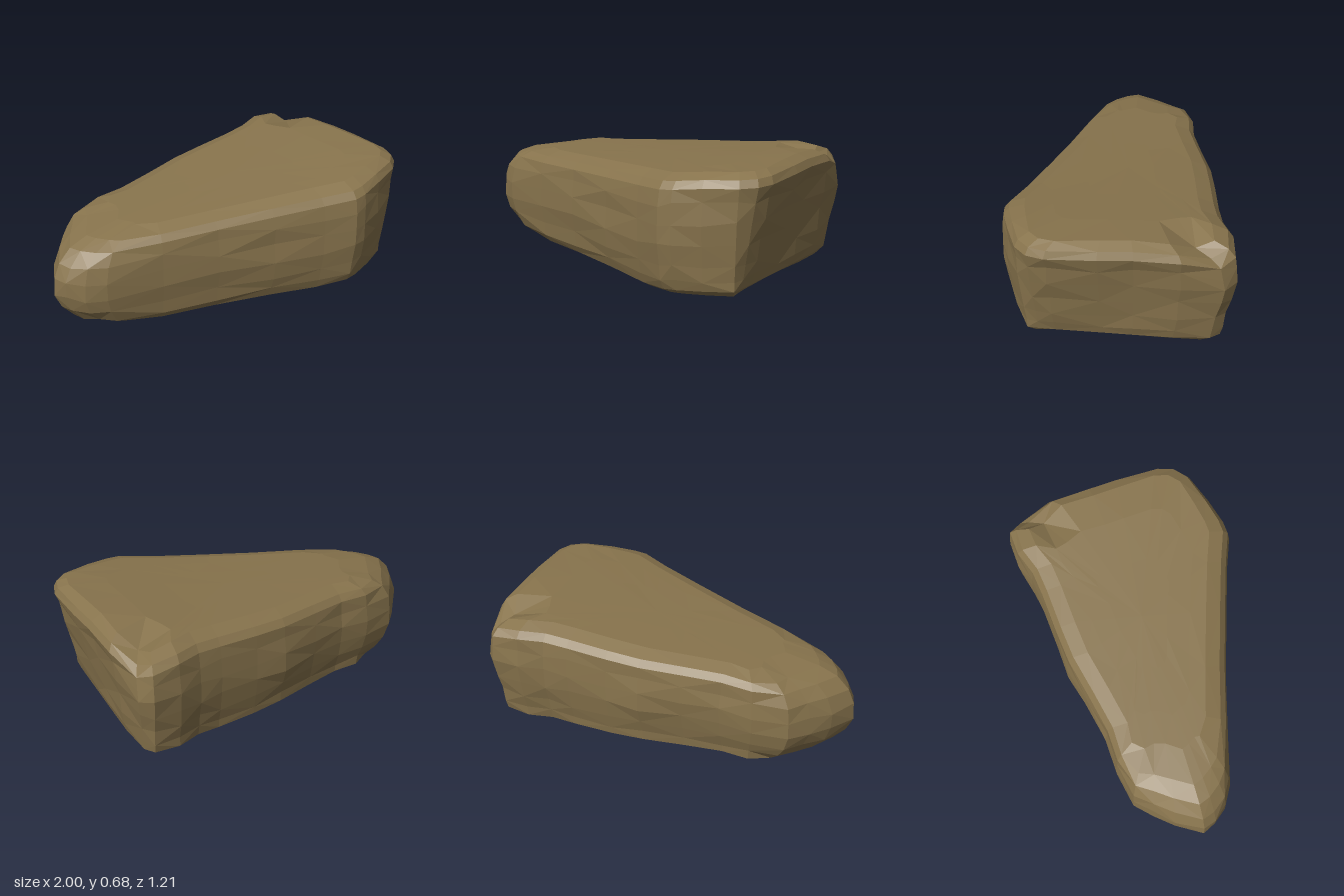
import * as THREE from 'three';

// plan outline (x, z), from the narrow tip along the back, the wide end and the front
const OUTLINE = [
  [-1, 0.07], [-0.93, -0.07], [-0.85, -0.17], [-0.77, -0.265], [-0.58, -0.315], [-0.4, -0.335],
  [-0.2, -0.39], [0.02, -0.455], [0.2, -0.485], [0.42, -0.515], [0.55, -0.54], [0.68, -0.595],
  [0.83, -0.612], [0.9, -0.56], [0.95, -0.35], [0.965, -0.12], [0.985, 0.05], [1, 0.3],
  [0.975, 0.39], [0.91, 0.455], [0.75, 0.535], [0.61, 0.595], [0.54, 0.605], [0.37, 0.55],
  [0.1, 0.475], [-0.2, 0.395], [-0.5, 0.325], [-0.8, 0.265], [-0.9, 0.215], [-0.97, 0.14],
];

// height fraction, then inset at the tip, the middle, the wide end and the chipped back corner
const LAYERS = [
  [0, 0.4, 0.12, 0.06, 0], [0.06, 0.24, 0.055, 0.01, 0], [0.15, 0.1, 0.025, 0, 0],
  [0.28, 0.03, 0.008, 0, 0], [0.45, 0, 0, 0, 0], [0.62, 0, 0, 0, 0], [0.78, 0.03, 0.005, 0, 0.01],
  [0.9, 0.11, 0.02, 0, 0.04], [0.96, 0.21, 0.05, 0.02, 0.08], [1, 0.4, 0.13, 0.08, 0.11],
];

const TOP = [[-1, 0.53], [-0.6, 0.553], [-0.1, 0.59], [0.4, 0.635], [0.8, 0.68], [1, 0.685]];
const BOTTOM = [[-1, 0.003], [-0.6, 0.003], [0, 0.015], [0.35, 0.006], [0.55, 0.03], [0.9, 0.05], [1, 0.055]];

function sample(table, x) {
  for (let i = 1; i < table.length; i++) {
    const [x0, y0] = table[i - 1], [x1, y1] = table[i];
    if (x <= x1) return THREE.MathUtils.mapLinear(Math.max(x, x0), x0, x1, y0, y1);
  }
  return table[table.length - 1][1];
}

// gently crowned top and nearly flat underside
const topHeight = (x, z) => sample(TOP, x) - 0.035 * z * z;
const bottomHeight = (x) => sample(BOTTOM, x);

// repeatable noise in -1..1
function noise(i, j) {
  const s = Math.sin(i * 127.1 + j * 311.7) * 43758.5453;
  return (s - Math.floor(s)) * 2 - 1;
}

function layerRing([t, tip, mid, wide, chip], j) {
  return OUTLINE.map(([x, z], i) => {
    const l = 1 - THREE.MathUtils.smoothstep(x, -1, -0.58);
    const r = THREE.MathUtils.smoothstep(x, 0.62, 0.88);
    const corner = Math.exp(-((x - 0.94) ** 2 + (z + 0.54) ** 2) / 0.02);
    const side = t > 0.1 && t < 0.85 ? 1 : 0;
    const undercut = z < 0 && t > 0.1 && t < 0.4 ? 0.015 : 0;
    // pull each point towards the spine of the boulder
    const dx = THREE.MathUtils.clamp(x, -0.42, 0.65) - x;
    const dz = THREE.MathUtils.clamp(z, -0.2, 0.2) * 0.4 - z;
    const d = Math.hypot(dx, dz);
    const inset = tip * l + wide * r + (mid + undercut) * (1 - l - r) + chip * corner
      + side * 0.007 * (1 + noise(i, j));
    const k = Math.min(inset / d, 0.8);
    // the wide end leans out from a straight foot to a bulging lip
    const foot = Math.max(0, 1 - t / 0.6);
    const lean = Math.max(0, x - 0.88) * Math.max(0, 1 - t / 0.9) + 0.03 * corner * foot;
    const px = x + dx * k - lean;
    const pz = (z + dz * k) * (1 - (z < 0 ? 0.12 : 0.05) * foot * r);
    const low = bottomHeight(px), high = topHeight(px, pz);
    const h = t + side * 0.02 * noise(i + 50, j);
    const drop = 0.07 * corner * THREE.MathUtils.smoothstep(t, 0.5, 0.9);
    return [px, low + (high - low) * h - drop, pz];
  });
}

// shrinks an end ring to cover the flat top or underside
function capRing(ring, scale, height) {
  return ring.map(([x, , z]) => {
    const px = 0.15 + (x - 0.15) * scale;
    return [px, height(px, z * scale), z * scale];
  });
}

function boulderGeometry() {
  const sides = LAYERS.map(layerRing);
  const first = sides[0], last = sides[sides.length - 1];
  const rings = [
    capRing(first, 0.4, bottomHeight), capRing(first, 0.75, bottomHeight), ...sides,
    capRing(last, 0.75, topHeight), capRing(last, 0.4, topHeight),
  ];
  const n = OUTLINE.length;
  const points = rings.flat();
  const index = [];
  for (let j = 0; j < rings.length - 1; j++) {
    for (let i = 0; i < n; i++) {
      const a = j * n + i, b = j * n + (i + 1) % n, c = a + n, d = b + n;
      if ((i + j) % 2) index.push(a, c, b, b, c, d);
      else index.push(a, d, b, a, c, d);
    }
  }
  // centres of the underside and the top
  const under = points.push([0.15, bottomHeight(0.15), 0]) - 1;
  const over = points.push([0.15, topHeight(0.15, 0), 0]) - 1;
  const end = (rings.length - 1) * n;
  for (let i = 0; i < n; i++) {
    const k = (i + 1) % n;
    index.push(under, i, k, over, end + k, end + i);
  }
  const geometry = new THREE.BufferGeometry();
  geometry.setAttribute('position', new THREE.Float32BufferAttribute(points.flat(), 3));
  geometry.setIndex(index);
  const faceted = geometry.toNonIndexed();
  faceted.computeVertexNormals();
  return faceted;
}

export function createModel() {
  const stone = new THREE.MeshStandardMaterial({ color: 0x88744d, flatShading: true });
  stone.name = 'brown stone';
  const boulder = new THREE.Mesh(boulderGeometry(), stone);
  boulder.name = 'boulder';
  const group = new THREE.Group();
  group.name = 'rock';
  group.add(boulder);
  return group;
}
